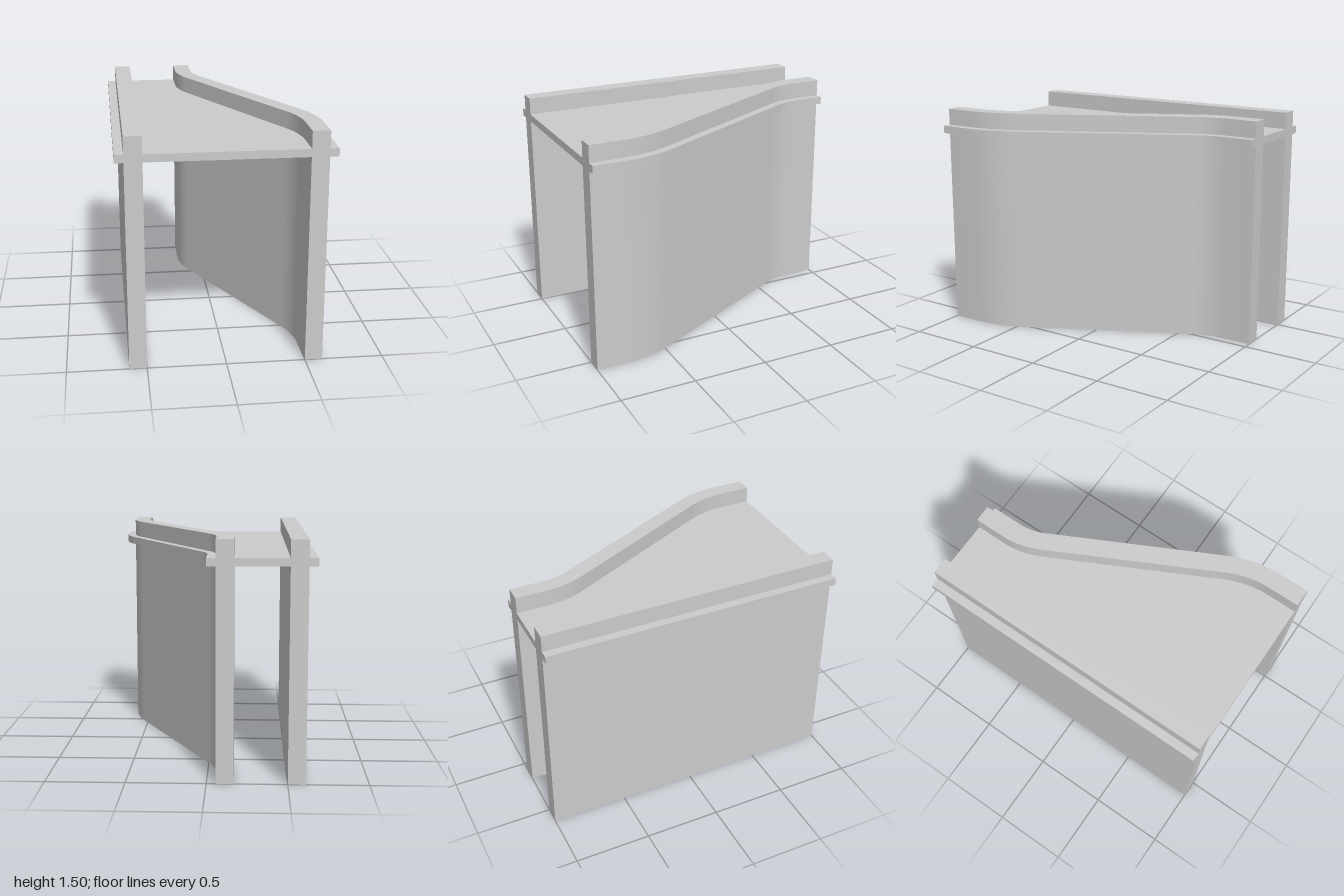
import * as THREE from 'three';
import { toCreasedNormals } from 'three/addons/utils/BufferGeometryUtils.js';

const HEIGHT = 1.5, DECK_Y = 1.34, DECK_T = 0.05;
const EDGE = 0.667;                 // half width at the front
const LEDGE = 0.056, WALL = 0.167;  // inset of a wall's outer and inner face
const BEND = 0.47, STEPS = 12;      // turn of the S-curve, segments per arc

// Plan line [x, z] of the curved side, front to back, inset from the deck edge
function curvedLine(inset) {
  const pts = [[EDGE - inset, 1]];
  const r1 = 0.8 - inset, r2 = 0.4 + inset;
  for (let i = 0; i <= STEPS; i++) {
    const a = BEND * i / STEPS;
    pts.push([EDGE - 0.8 + r1 * Math.cos(a), 0.8 - r1 * Math.sin(a)]);
  }
  for (let i = STEPS; i >= 0; i--) {
    const a = BEND * i / STEPS;
    pts.push([0.4 - r2 * Math.cos(a), -0.8 + r2 * Math.sin(a)]);
  }
  pts.push([-inset, -1]);
  return pts;
}

// Plan line of the straight side
const straightLine = (inset) => [[-EDGE + inset, 1], [-EDGE + inset, -1]];

export function createModel() {
  const group = new THREE.Group();
  const material = new THREE.MeshStandardMaterial({ color: 0xcccccc });

  // Upright solid between two plan lines
  function slab(name, outer, inner, y, height) {
    const outline = [...outer, ...inner.slice().reverse()];
    const shape = new THREE.Shape(outline.map(([x, z]) => new THREE.Vector2(x, -z)));
    const geo = new THREE.ExtrudeGeometry(shape, { depth: height, bevelEnabled: false });
    geo.rotateX(-Math.PI / 2);
    geo.translate(0, y, 0);
    const mesh = new THREE.Mesh(toCreasedNormals(geo, 0.4), material);
    mesh.name = name;
    group.add(mesh);
  }

  // Side walls
  slab('curvedWall', curvedLine(LEDGE), curvedLine(WALL), 0, HEIGHT);
  slab('straightWall', straightLine(LEDGE), straightLine(WALL), 0, HEIGHT);

  // Deck between the walls and the ledges outside them
  slab('deck', curvedLine(WALL), straightLine(WALL), DECK_Y, DECK_T);
  slab('curvedLedge', curvedLine(0), curvedLine(LEDGE), DECK_Y, DECK_T);
  slab('straightLedge', straightLine(0), straightLine(LEDGE), DECK_Y, DECK_T);

  return group;
}
